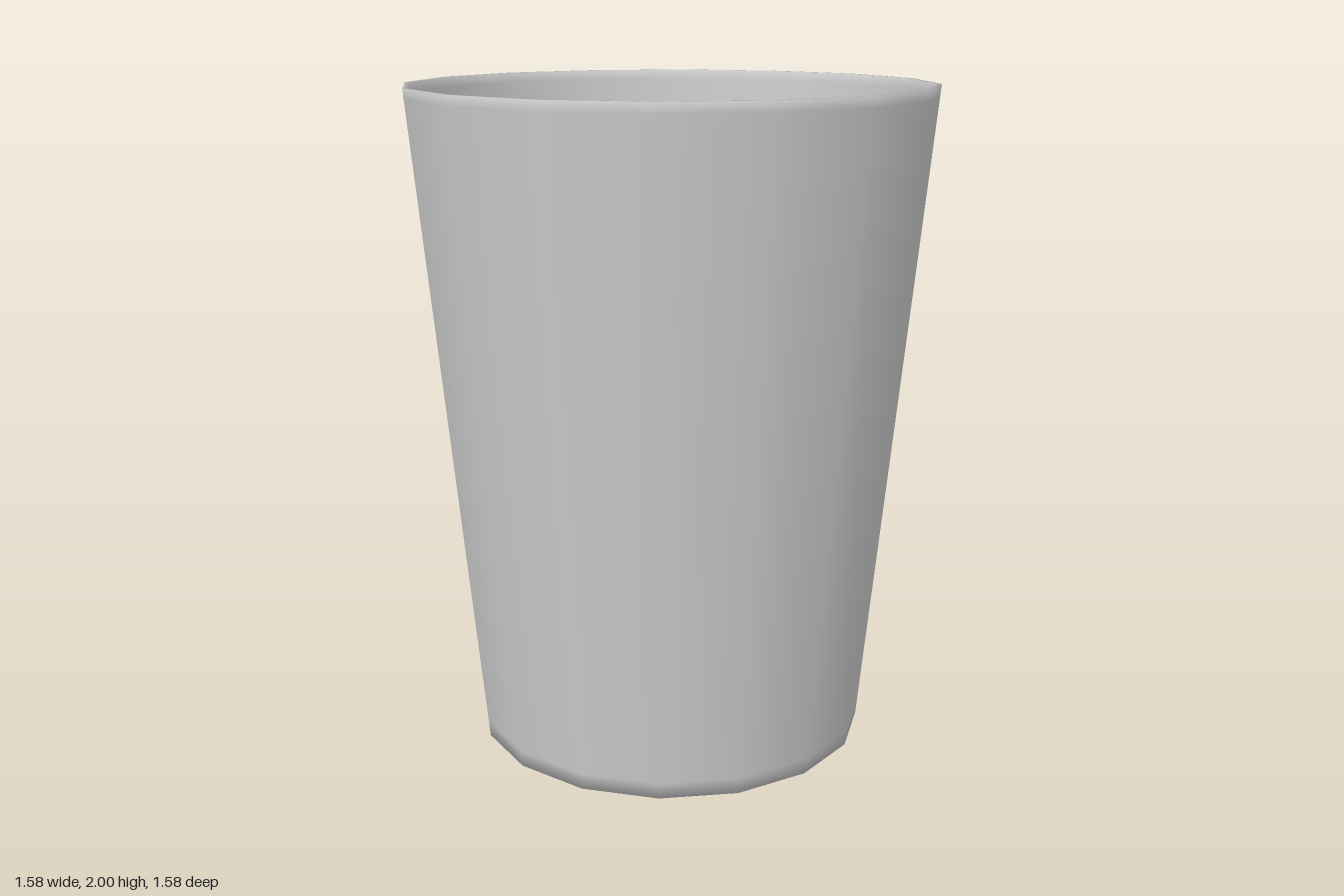
import * as THREE from 'three';

const SIDES = 16;
const WALL = 0.015;  // wall thickness
const FLOOR = 0.02;  // floor thickness

// Outer radius of the tapered wall at height y
const radiusAt = (y) => 0.6 + 0.095 * y;

export function createModel() {
  const group = new THREE.Group();
  group.name = 'cup';

  // Closed profile: underside, outer wall, rim, inner wall, floor.
  // Loops close to the edges keep the smooth shading tight.
  const profile = [
    [0, 0], [0.52, 0], [radiusAt(0), 0],
    [radiusAt(0.05), 0.05], [radiusAt(1.97), 1.97], [radiusAt(2), 2],
    [radiusAt(2) - WALL, 2], [radiusAt(1.97) - WALL, 1.97],
    [radiusAt(0.07) - WALL, 0.07], [radiusAt(FLOOR) - WALL, FLOOR],
    [0.5, FLOOR], [0, FLOOR],
  ].map(([r, y]) => new THREE.Vector2(r, y));

  const cup = new THREE.Mesh(
    new THREE.LatheGeometry(profile, SIDES),
    new THREE.MeshStandardMaterial({ color: 0xcccccc })
  );
  cup.name = 'cupBody';
  group.add(cup);
  return group;
}
